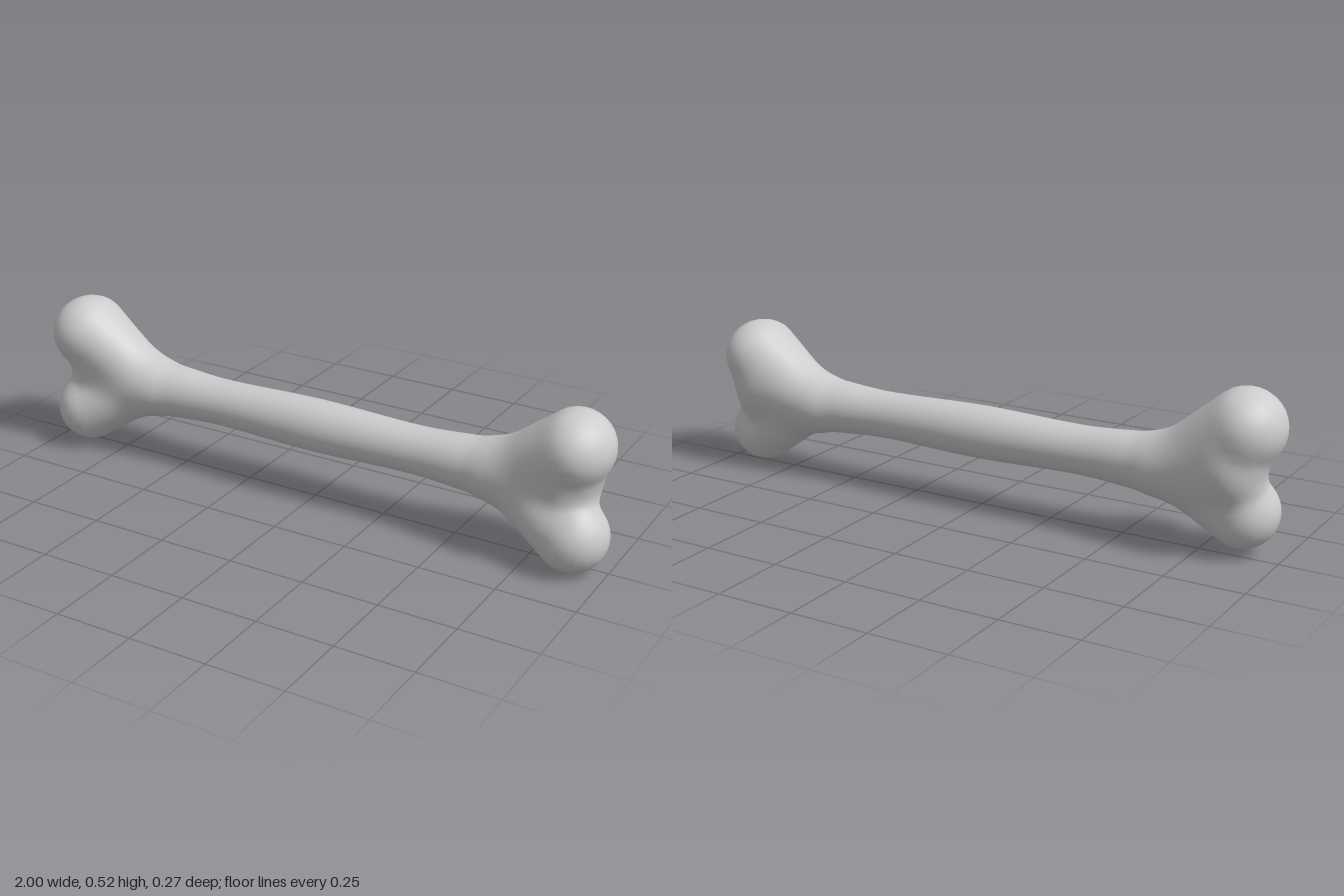
import * as THREE from 'three';
import { mergeVertices } from 'three/addons/utils/BufferGeometryUtils.js';

const SPINE_Y = 0.245, SPINE_Z = -0.009, SPINE_END = 0.85;

// Knobs that flare out of the shaft: tip centre, tip radius, widening in z
const knobs = [
  { tip: [0.87, 0.38, 0], r: 0.118, wide: 1.12 },
  { tip: [0.888, 0.112, 0.028], r: 0.112, wide: 1 },
  { tip: [0.83, 0.29, -0.018], r: 0.11, wide: 1 },
  { tip: [-0.878, 0.395, 0.002], r: 0.122, wide: 1.09 },
  { tip: [-0.872, 0.133, 0.028], r: 0.112, wide: 1 },
  { tip: [-0.83, 0.29, -0.018], r: 0.11, wide: 1 },
];
const FLARE_START = 0.62, FLARE_RADIUS = 0.07;

function smoothMin(a, b, k) {
  const h = Math.max(k - Math.abs(a - b), 0) / k;
  return Math.min(a, b) - h * h * k * 0.25;
}

// Distance to a cone with round ends, from the shaft to the knob tip
function knobField(p, { tip, r, wide }) {
  const base = [Math.sign(tip[0]) * FLARE_START, SPINE_Y, SPINE_Z];
  const axis = tip.map((v, i) => v - base[i]);
  const rel = p.map((v, i) => v - base[i]);
  const dot = (a, b) => a[0] * b[0] + a[1] * b[1] + a[2] * b[2];
  const t = THREE.MathUtils.clamp(dot(rel, axis) / dot(axis, axis), 0, 1);
  const [x, y, z] = rel.map((v, i) => v - axis[i] * t);
  return Math.hypot(x, y, z / wide) - THREE.MathUtils.lerp(FLARE_RADIUS, r, t);
}

// Shaft radius: slightly thick in the middle, slim beside it, wider at the ends
function shaftRadius(x) {
  const t = Math.min(Math.abs(x), 0.8);
  const s = THREE.MathUtils.smoothstep;
  return 0.084 - 0.008 * s(t, 0, 0.35) + 0.016 * s(t, 0.35, 0.65);
}

// Shaft and knobs blended into one soft form; negative inside
function field(p) {
  const beyond = Math.max(Math.abs(p[0]) - SPINE_END, 0);
  let d = Math.hypot(beyond, p[1] - SPINE_Y, p[2] - SPINE_Z) - shaftRadius(p[0]);
  for (const k of knobs) if (k.tip[0] * p[0] > 0) d = smoothMin(d, knobField(p, k), 0.045);
  return d;
}

// Surface point along a ray from inside the bone
function surfacePoint(o, d) {
  let near = 0, far = 0.45;
  const at = (t) => o.map((v, i) => v + d[i] * t);
  for (let i = 0; i < 26; i++) {
    const mid = (near + far) / 2;
    if (field(at(mid)) < 0) near = mid; else far = mid;
  }
  return at(near);
}

function boneGeometry() {
  // Rings: a fan around each end cap, straight slices along the shaft
  const rings = [], capSteps = 18, slices = 80, around = 56;
  for (let i = 0; i < capSteps; i++) rings.push([-SPINE_END, -Math.PI / 2 * (1 - i / capSteps)]);
  for (let i = 0; i <= slices; i++) rings.push([SPINE_END * (2 * i / slices - 1), 0]);
  for (let i = 1; i <= capSteps; i++) rings.push([SPINE_END, Math.PI / 2 * i / capSteps]);

  const positions = [], index = [];
  rings.forEach(([x, tilt], i) => {
    for (let j = 0; j < around; j++) {
      const a = j / around * Math.PI * 2, c = Math.cos(tilt);
      const dir = [Math.sin(tilt), c * Math.cos(a), c * Math.sin(a)];
      positions.push(...surfacePoint([x, SPINE_Y, SPINE_Z], dir));
      if (i === rings.length - 1) continue;
      const p = i * around + j, q = i * around + (j + 1) % around;
      index.push(p, q, p + around, q, q + around, p + around);
    }
  });
  let geometry = new THREE.BufferGeometry();
  geometry.setAttribute('position', new THREE.Float32BufferAttribute(positions, 3));
  geometry.setIndex(index);
  geometry = mergeVertices(geometry, 1e-5);
  geometry.computeVertexNormals();
  return geometry;
}

export function createModel() {
  const boneGrey = new THREE.MeshStandardMaterial({ color: 0xcccccc });
  boneGrey.name = 'bone grey';
  const bone = new THREE.Mesh(boneGeometry(), boneGrey);
  bone.name = 'bone';
  const group = new THREE.Group();
  group.name = 'boneModel';
  group.add(bone);
  return group;
}
